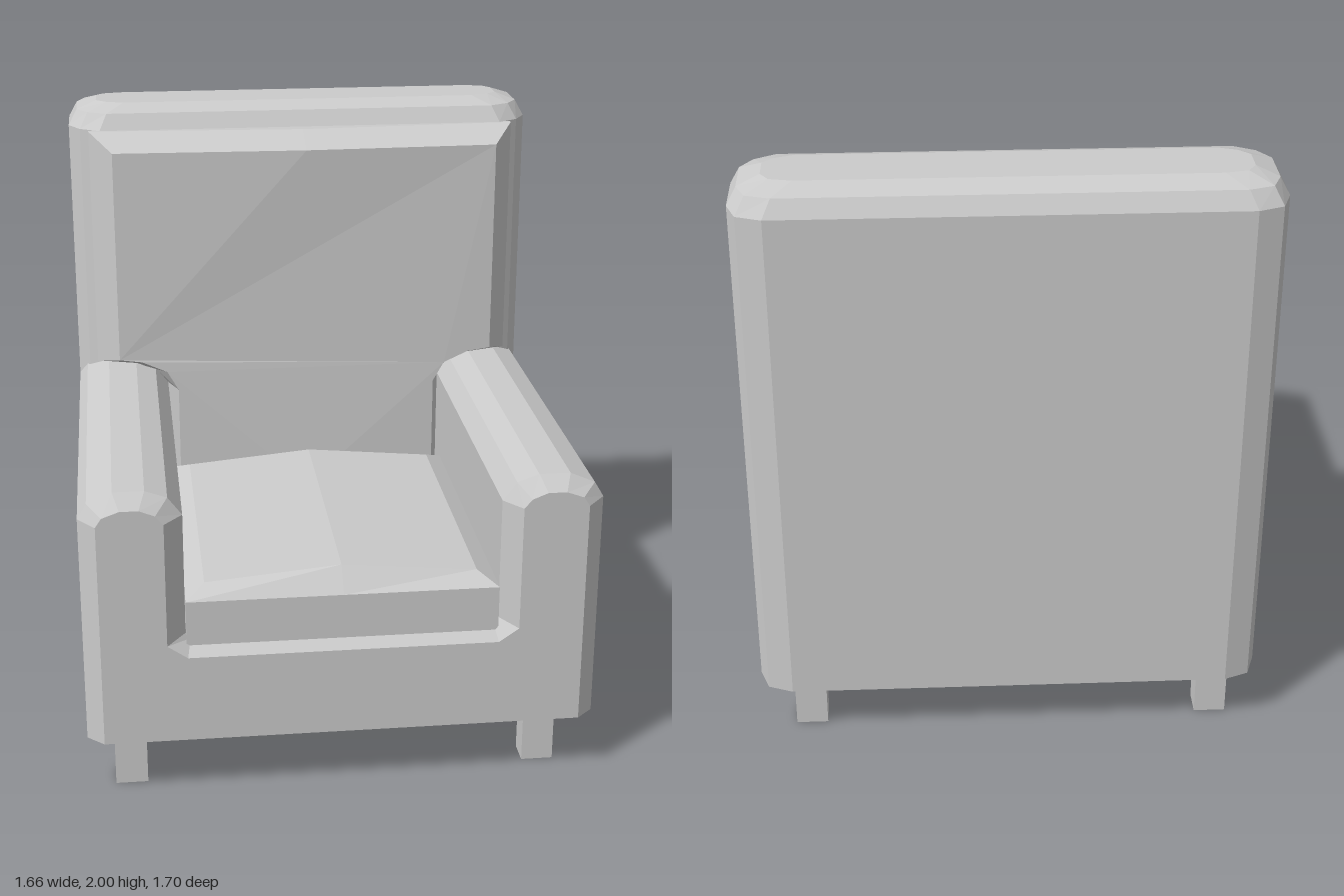
import * as THREE from 'three';

const material = new THREE.MeshStandardMaterial({
  color: 0xcccccc, flatShading: true, side: THREE.DoubleSide,
});

// Mirror a right-hand half profile of [u, v] points across u = 0
const mirror = (half) => {
  const left = half.filter(([u]) => u !== 0).map(([u, v]) => [-u, v]).reverse();
  return half.concat(left);
};
const v3 = (x, y, z) => new THREE.Vector3(x, y, z);

// Skin a list of rings; rings run counter-clockwise seen along the advance direction
function loft(rings, { closed = true, caps = [] } = {}) {
  const pos = [];
  const tri = (...pts) => pts.forEach((p) => pos.push(p.x, p.y, p.z));
  for (let r = 0; r < rings.length - 1; r++) {
    const a = rings[r], b = rings[r + 1], n = a.length;
    for (let i = 0; i < (closed ? n : n - 1); i++) {
      const j = (i + 1) % n;
      tri(a[i], a[j], b[j]);
      tri(a[i], b[j], b[i]);
    }
  }
  // each cap: a ring and the direction it faces
  for (const { ring, dir } of caps) {
    const flat = ring.map((p) => new THREE.Vector2(p.x, dir.y ? p.z : p.y));
    for (const [i, j, k] of THREE.ShapeUtils.triangulateShape(flat, [])) {
      const [p, q, s] = [ring[i], ring[j], ring[k]];
      const normal = q.clone().sub(p).cross(s.clone().sub(p));
      if (normal.dot(dir) > 0) tri(p, q, s);
      else tri(p, s, q);
    }
  }
  const g = new THREE.BufferGeometry();
  g.setAttribute('position', new THREE.Float32BufferAttribute(pos, 3));
  g.computeVertexNormals();
  return g;
}

export function createModel() {
  const group = new THREE.Group();
  const add = (name, geometry) => {
    const mesh = new THREE.Mesh(geometry, material);
    mesh.name = name;
    group.add(mesh);
    return mesh;
  };

  // Arms, front rail and seat deck: one U-shaped shell, open underneath
  const bodyFull = mirror([[.83, .21], [.83, .98], [.8, 1.03], [.72, 1.065], [.62, 1.065],
    [.55, 1.04], [.505, .98], [.505, .57], [.49, .55]]);
  const bodyFront = mirror([[.775, .21], [.775, .97], [.755, 1], [.7, 1.02], [.64, 1.02],
    [.59, 1], [.565, .97], [.565, .55], [.5, .505]]);
  const atZ = (outline, z) => outline.map(([x, y]) => v3(x, y, z));
  const front = atZ(bodyFront, .85);
  add('armsAndBase', loft([atZ(bodyFull, -.6), atZ(bodyFull, .8), front],
    { closed: false, caps: [{ ring: front, dir: v3(0, 0, 1) }] }));

  // Backrest: rounded slab with a softened top edge
  const backPlan = mirror([[.72, -.455], [.79, -.5], [.83, -.57], [.83, -.74], [.8, -.82], [.72, -.85]]);
  const midZ = -.652;
  const backRing = (y, inset) => backPlan.map(([x, z]) =>
    v3(x * (1 - inset / .83), y, midZ + (z - midZ) * (1 - inset / .198)));
  const backTop = backRing(2, .1);
  add('backrest', loft([backRing(.51, 0), backRing(1.92, 0), backRing(1.975, .03), backTop],
    { caps: [{ ring: backTop, dir: v3(0, 1, 0) }] }));

  // Lower rear skirt, open underneath and towards the seat
  const skirtPlan = backPlan.slice(2, -2);
  const skirt = (y) => skirtPlan.map(([x, z]) => v3(x, y, z));
  add('rearSkirt', loft([skirt(.21), skirt(.51)], { closed: false }));

  // Back cushion: T-shaped, bevelled, bulging forward along the middle
  const cushionRear = mirror([[0, .6], [.51, .6], [.51, .98], [.55, 1.03], [.62, 1.05],
    [.76, 1.065], [.76, 1.92], [0, 1.92]]);
  const cushionFront = mirror([[0, .6], [.47, .6], [.47, .99], [.51, 1.06], [.6, 1.1],
    [.68, 1.11], [.68, 1.87], [0, 1.87]]);
  const bulge = (outline, z, depth) => outline.map(([x, y]) =>
    v3(x, y, z + depth * (1 - Math.abs(x) / .76)));
  const padRear = bulge(cushionRear, -.465, 0);
  const padFront = bulge(cushionFront, -.312, .022);
  add('backCushion', loft([padRear, bulge(cushionRear, -.45, .04), padFront], {
    caps: [{ ring: padRear, dir: v3(0, 0, -1) }, { ring: padFront, dir: v3(0, 0, 1) }],
  }));

  // Seat cushion: bevelled block with a crowned top
  const seatRing = (y, w, z0, z1, crown = 0) => [
    v3(w, y, z1), v3(w, y, z0), v3(0, y + crown, z0),
    v3(-w, y, z0), v3(-w, y, z1), v3(0, y + crown, z1)];
  const seatBottom = seatRing(.525, .503, -.31, .818);
  const seatTop = seatRing(.72, .44, -.24, .75, .04);
  add('seatCushion', loft([seatBottom, seatRing(.685, .503, -.31, .818), seatTop], {
    caps: [{ ring: seatBottom, dir: v3(0, -1, 0) },
      { ring: seatTop.slice(0, 3).concat(seatTop[5]), dir: v3(0, 1, 0) },
      { ring: seatTop.slice(2), dir: v3(0, 1, 0) }],
  }));

  // Legs: square tubes reaching up inside the frame
  const legGeometry = new THREE.CylinderGeometry(Math.SQRT1_2, Math.SQRT1_2, .45, 4, 1, true)
    .rotateY(Math.PI / 4).scale(.105, 1, .085).translate(0, .225, 0);
  for (const x of [-.692, .668]) {
    for (const [name, z] of [['frontLeg', .703], ['backLeg', -.71]]) {
      add(name, legGeometry).position.set(x, 0, z);
    }
  }
  return group;
}
